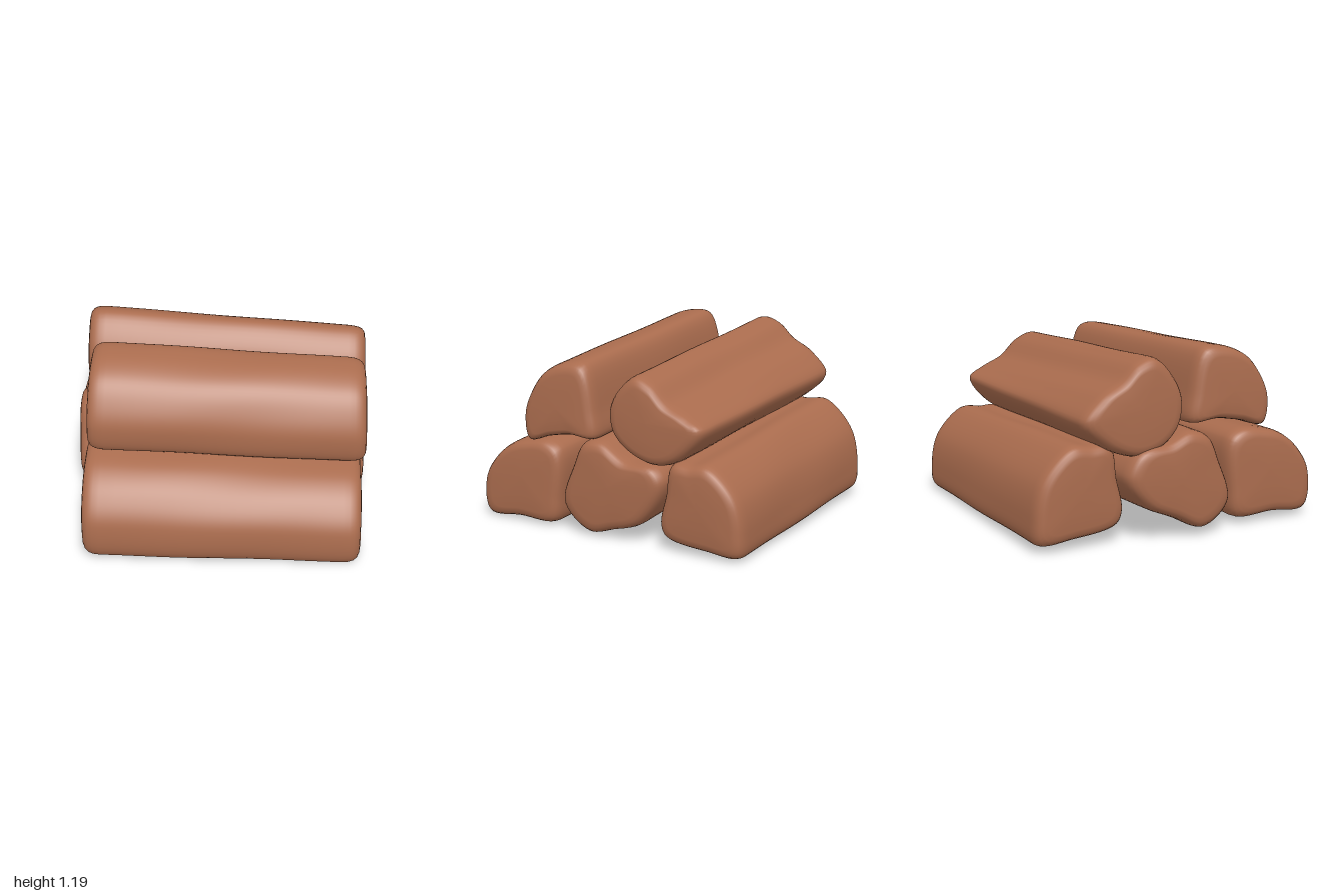
import * as THREE from 'three';

const SIDES = 72;
// Rounded end of a log: [distance in from the end, outline scale], from the cap centre outwards
const END = [[0, 0], [0.001, 0.4], [0.007, 0.75], [0.014, 0.85], [0.028, 0.92], [0.05, 0.965], [0.08, 0.99], [0.12, 1]];
const { lerp, inverseLerp } = THREE.MathUtils;

// Loft from the left-end outline ([z, y] from the top, over the front, to the bottom and back).
// The right end is the same outline, moved in z by shift [back, front], raised by
// lift [foot, top] and swollen upwards towards its back by crown.
function logGeometry({ x: [x0, x1], lean, shift, lift, crown, outline }, seed) {
  const curve = new THREE.CatmullRomCurve3(outline.map(([z, y]) => new THREE.Vector3(0, y, z)), true, 'centripetal');
  const near = Array.from({ length: SIDES }, (_, j) => curve.getPoint(j / SIDES));
  const { min, max } = new THREE.Box3().setFromPoints(near);
  const far = near.map(({ y, z }) => {
    const front = inverseLerp(min.z, max.z, z), up = inverseLerp(min.y, max.y, y);
    const swell = crown * Math.sin(Math.PI * (1 - front) ** 2);
    return new THREE.Vector3(0, y + lerp(...lift, up) + swell, z + lerp(...shift, front));
  });

  const stations = END.map(([d, s]) => [x0 + d, s]);
  for (let i = 1; i < 16; i++) stations.push([lerp(x0 + 0.12, x1 - 0.12, i / 16), 1]);
  stations.push(...END.map(([d, s]) => [x1 - d, s]).reverse());

  const positions = [], index = [];
  stations.forEach(([x, scale], i) => {
    const t = (x - x0) / (x1 - x0);
    const ring = near.map((p, j) => far[j].clone().lerp(p, t));
    const centre = ring.reduce((sum, p) => sum.add(p), new THREE.Vector3()).divideScalar(SIDES);
    ring.forEach((p, j) => {
      // Gentle hewn unevenness that fades out at both ends
      const angle = (j / SIDES) * Math.PI * 2;
      const wave = 0.01 * Math.sin(Math.PI * t) * Math.sin(5 * x + 3 * angle + seed * 1.7);
      p.sub(centre).multiplyScalar(scale * (1 + wave));
      positions.push(x + lean * p.y * (1 - 2 * t), centre.y + p.y, centre.z + p.z);
      if (i < stations.length - 1) {
        const n = (j + 1) % SIDES, r = i * SIDES, q = r + SIDES;
        index.push(r + j, r + n, q + j, r + n, q + n, q + j);
      }
    });
  });

  const geometry = new THREE.BufferGeometry();
  geometry.setAttribute('position', new THREE.Float32BufferAttribute(positions, 3));
  geometry.setIndex(index);
  geometry.computeVertexNormals();
  return geometry;
}

export function createModel() {
  const group = new THREE.Group();
  group.name = 'logPile';
  const wood = new THREE.MeshStandardMaterial({ color: 0xaa6c4e });
  wood.name = 'reddish brown wood';

  const addLog = (name, log) => {
    const mesh = new THREE.Mesh(logGeometry(log, group.children.length), wood);
    mesh.name = name;
    group.add(mesh);
  };

  // Bottom row
  addLog('frontBottomLog', {
    x: [-0.88, 0.915], lean: 0.02, shift: [0.01, 0.035], lift: [0.03, 0.08], crown: 0,
    outline: [[.45, .56], [.6, .55], [.74, .51], [.87, .41], [.965, .25], [.94, .02], [.68, .02], [.4, .03], [.36, .2], [.36, .5]],
  });
  addLog('middleBottomLog', {
    x: [-0.97, 0.95], lean: 0, shift: [0.01, 0], lift: [0.02, 0.04], crown: 0.08,
    outline: [[.03, .62], [.16, .6], [.24, .45], [.32, .18], [.13, .015], [-.05, .05], [-.27, .13], [-.43, .41], [-.37, .5], [-.15, .52]],
  });
  addLog('backBottomLog', {
    x: [-0.84, 0.965], lean: 0, shift: [0, 0.035], lift: [0.03, 0.09], crown: 0,
    outline: [[-.62, .56], [-.49, .55], [-.45, .36], [-.41, .16], [-.45, .08], [-.75, .03], [-.97, .03], [-.99, .18], [-.95, .37], [-.85, .5], [-.74, .57]],
  });

  // Top row
  addLog('frontTopLog', {
    x: [-0.855, 0.935], lean: 0.04, shift: [0.02, 0.065], lift: [0.09, 0.1], crown: 0,
    outline: [[.3, 1.09], [.46, 1.02], [.56, .89], [.615, .73], [.58, .56], [.42, .6], [.25, .63], [.07, .63], [.08, .8], [.16, 1.08]],
  });
  addLog('backTopLog', {
    x: [-0.925, 0.945], lean: 0.03, shift: [0, 0.03], lift: [0, 0.1], crown: 0.06,
    outline: [[-.21, 1.06], [-.08, .95], [-.03, .83], [-.06, .69], [-.18, .58], [-.37, .52], [-.54, .57], [-.7, .77], [-.6, .84], [-.45, .91], [-.33, 1.02]],
  });

  return group;
}
